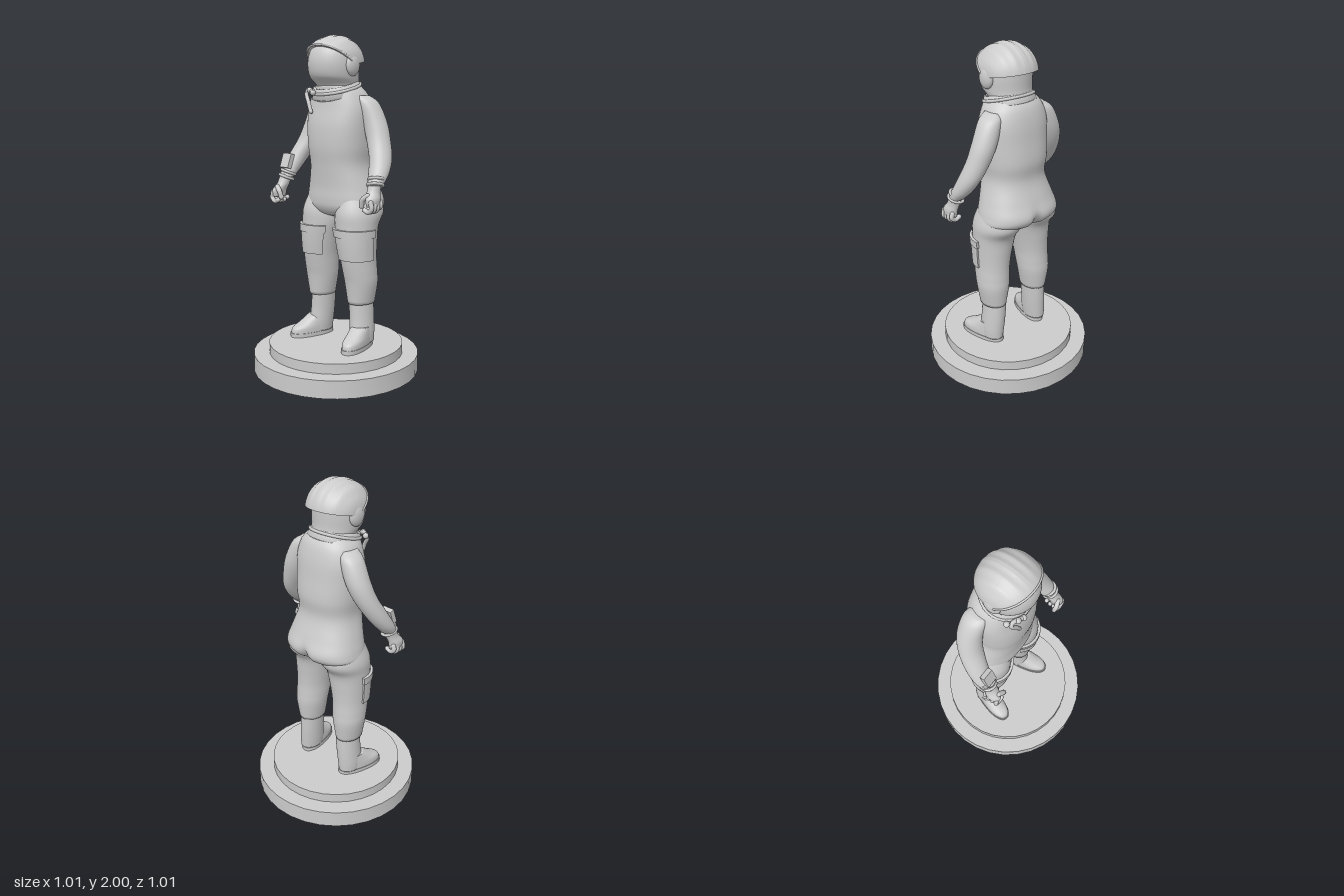
import * as THREE from 'three';
import { mergeVertices, toCreasedNormals } from 'three/addons/utils/BufferGeometryUtils.js';

const grey = new THREE.MeshStandardMaterial({ color: 0xcccccc, side: THREE.DoubleSide });
const V = (x, y, z) => new THREE.Vector3(x, y, z);

function mesh(parent, name, geometry) {
  const m = new THREE.Mesh(geometry, grey);
  m.name = name;
  parent.add(m);
  return m;
}

// Surface over a grid of points; point(i, j) gives the position
function grid(rows, cols, point, flip = false) {
  const pos = [], index = [];
  for (let i = 0; i <= rows; i++)
    for (let j = 0; j <= cols; j++) pos.push(...point(i, j));
  for (let i = 0; i < rows; i++)
    for (let j = 0; j < cols; j++) {
      const a = i * (cols + 1) + j, b = a + 1, c = a + cols + 1, d = c + 1;
      if (flip) index.push(a, c, b, b, c, d);
      else index.push(a, b, c, b, d, c);
    }
  let g = new THREE.BufferGeometry();
  g.setAttribute('position', new THREE.Float32BufferAttribute(pos, 3));
  g.setIndex(index);
  g = mergeVertices(g, 1e-5);
  g.computeVertexNormals();
  return g;
}

// Horizontal rings [x, y, z, rx, rz], listed from top to bottom, smoothly joined.
// A patch (partial range of height and angle) gets raised by "grow" with sunk edges.
function loft(secs, { side = 1, rows = 36, cols = 36, n = 2, t0 = 0, t1 = 2 * Math.PI,
  u0 = 0, u1 = 1, grow = 0, warp = null } = {}) {
  const centre = new THREE.CatmullRomCurve3(secs.map(s => V(s[0], s[1], s[2])), false, 'catmullrom');
  const radii = new THREE.CatmullRomCurve3(secs.map(s => V(s[3], s[4], 0)), false, 'catmullrom');
  const bend = c => Math.sign(c) * Math.abs(c) ** (2 / n);
  return grid(rows, cols, (i, j) => {
    const cap = !grow && (i === 0 || i === rows);
    const k = grow ? Math.min(Math.max((i - 1) / (rows - 2), 0), 1) : Math.min(Math.max((i - 1) / (rows - 2), 0), 1);
    const q = grow ? Math.min(Math.max((j - 1) / (cols - 2), 0), 1) : j === cols ? 0 : j / cols;
    const u = u0 + (u1 - u0) * k, t = t0 + (t1 - t0) * q;
    const c = centre.getPoint(u), r = radii.getPoint(u);
    const edge = i === 0 || i === rows || j === 0 || j === cols;
    const g = grow ? (edge ? -0.01 : grow) : 0;
    const p = V(
      c.x + (cap ? 0 : (r.x + g) * bend(Math.cos(t))), c.y,
      c.z + (cap ? 0 : (r.y + g) * bend(Math.sin(t))));
    if (warp) warp(p);
    return [side * p.x, p.y, p.z];
  }, side < 0);
}

// Round-ended tube through points
function cord(parent, name, pts, radius) {
  const g = new THREE.Group();
  g.name = name;
  parent.add(g);
  mesh(g, name + 'Tube', new THREE.TubeGeometry(new THREE.CatmullRomCurve3(pts), 14, radius, 10));
  for (const p of [pts[0], pts[pts.length - 1]])
    mesh(g, name + 'End', new THREE.SphereGeometry(radius, 10, 8)).position.copy(p);
}

function addBase(root) {
  // Hollow two-step stand, open underneath
  const profile = [[0, 0.165], [0.41, 0.165], [0.41, 0.105], [0.505, 0.105], [0.505, 0]];
  const g = new THREE.LatheGeometry(profile.reverse().map(p => new THREE.Vector2(...p)), 32);
  mesh(root, 'stand', toCreasedNormals(g, 0.6));
}

function addTorso(root) {
  const secs = [
    [0, 1.71, -0.02, 0.135, 0.12], [0, 1.66, -0.035, 0.175, 0.137], [0, 1.58, -0.04, 0.203, 0.152],
    [0, 1.48, -0.037, 0.205, 0.166], [0, 1.36, -0.042, 0.198, 0.172], [0, 1.25, -0.045, 0.188, 0.16],
    [0, 1.13, -0.07, 0.222, 0.173], [0, 1.05, -0.085, 0.245, 0.188], [0, 1.0, -0.08, 0.245, 0.175],
    [0, 0.96, -0.065, 0.17, 0.13], [0, 0.935, -0.06, 0.06, 0.06]];
  const cleft = p => { // groove at the back of the seat
    if (p.z < -0.1) p.z += 0.035 * Math.exp(-((p.x / 0.03) ** 2) - ((p.y - 1.0) / 0.07) ** 2);
  };
  mesh(root, 'torso', loft(secs, { rows: 60, cols: 64, n: 2.3, warp: cleft }));
}

function addLeg(root, side) {
  const leg = new THREE.Group();
  leg.name = side > 0 ? 'leftLeg' : 'rightLeg';
  root.add(leg);
  const secs = [
    [0.12, 1.08, -0.075, 0.11, 0.14], [0.135, 0.98, -0.062, 0.13, 0.16], [0.138, 0.9, -0.035, 0.127, 0.135],
    [0.147, 0.8, -0.03, 0.114, 0.125], [0.155, 0.7, -0.033, 0.103, 0.116], [0.16, 0.62, -0.042, 0.1, 0.11],
    [0.163, 0.55, -0.05, 0.095, 0.104], [0.163, 0.43, -0.05, 0.073, 0.09]];
  mesh(leg, 'trouserLeg', loft(secs, { side, rows: 48 }));
  // Thigh pocket with flap, wrapped around front and outside
  const patch = (name, u0, u1, t0, t1, grow) => mesh(leg, name,
    toCreasedNormals(loft(secs, { side, u0: u0 / 7, u1: u1 / 7, t0, t1, grow, rows: 10, cols: 24 }), 0.7));
  patch('thighPocket', 2.2, 4, -0.05, 2.45, 0.01);
  patch('pocketFlap', 2.2, 2.65, -0.1, 2.5, 0.016);
  // Boot
  mesh(leg, 'bootShaft', loft([
    [0.157, 0.45, -0.055, 0.066, 0.084], [0.165, 0.34, -0.055, 0.066, 0.083],
    [0.172, 0.25, -0.05, 0.065, 0.084], [0.175, 0.19, -0.05, 0.06, 0.08]], { side }));
  const foot = new THREE.Group();
  foot.name = 'foot';
  foot.position.set(side * 0.193, 0, 0.017);
  foot.rotation.y = side * 0.24;
  leg.add(foot);
  mesh(foot, 'bootFoot', loft([
    [0, 0.29, -0.06, 0.055, 0.075], [0, 0.25, -0.03, 0.058, 0.11], [0, 0.22, -0.004, 0.06, 0.138],
    [0, 0.185, 0, 0.06, 0.145]], { n: 2.3 }));
  mesh(foot, 'bootSole', toCreasedNormals(loft([
    [0, 0.19, 0, 0.063, 0.15], [0, 0.165, 0, 0.062, 0.149]], { n: 2.3, rows: 4 }), 0.7));
}

function addArm(root, side, secs, hand) {
  const arm = new THREE.Group();
  arm.name = side > 0 ? 'leftArm' : 'rightArm';
  root.add(arm);
  mesh(arm, 'sleeve', loft(secs, { side, rows: 48 }));
  // Cuff rings around the wrist
  const [x, y, z] = secs[secs.length - 1];
  for (const k of [0, 1]) {
    const cuff = mesh(arm, 'cuff', new THREE.TorusGeometry(0.044, 0.009, 8, 28).rotateX(Math.PI / 2));
    cuff.position.set(side * (x - 0.004 * k), y + 0.03 * k, z - 0.012 * k);
    cuff.rotation.set(-0.3, 0, side * 0.2);
  }
  // Gloved hand with curled fingers
  const glove = new THREE.Group();
  glove.name = 'glove';
  arm.add(glove);
  const [hx, hz] = hand;
  mesh(glove, 'palm', loft([
    [x, y + 0.02, z, 0.036, 0.038], [(x + hx) / 2, 1.125, (z + hz) / 2, 0.036, 0.04],
    [hx + 0.008, 1.085, hz, 0.036, 0.05], [hx + 0.01, 1.045, hz, 0.03, 0.046]], { side, rows: 20, cols: 24 }));
  const P = (dx, py, dz) => V(side * (hx + dx), py, hz + dz);
  for (let i = 0; i < 4; i++) {
    const dz = -0.039 + 0.026 * i, lift = i === 0 ? 0.012 : 0;
    cord(glove, 'finger', [P(0.026, 1.07, dz), P(0.032, 1.035 + lift, dz),
      P(0.008, 1.015 + lift, dz), P(-0.02, 1.025 + lift, dz)], 0.014);
  }
  cord(glove, 'thumb', [P(-0.005, 1.105, 0.03), P(-0.035, 1.08, 0.04), P(-0.045, 1.045, 0.035)], 0.015);
  return arm;
}

function addHelmet(root) {
  const helmet = new THREE.Group();
  helmet.name = 'helmet';
  root.add(helmet);
  // Visor bowl and neck in one rounded form
  mesh(helmet, 'visorAndNeck', loft([
    [0, 1.975, 0.01, 0.04, 0.04], [0, 1.95, 0.012, 0.1, 0.11], [0, 1.9, 0.015, 0.138, 0.145],
    [0, 1.83, 0.02, 0.148, 0.152], [0, 1.76, 0.012, 0.142, 0.143], [0, 1.71, -0.018, 0.13, 0.118],
    [0, 1.65, -0.015, 0.125, 0.115]], { rows: 44, cols: 48 }));
  // Ridged shell sweeping from brow to nape, meeting at the ears
  const v0 = 0.66, v1 = 2.97;
  const shellPoint = (a, v, k = 1) => {
    const x = 0.165 * Math.sin(a), c = Math.cos(a) ** 0.85;
    const fade = Math.sin(Math.PI * (v - v0) / (v1 - v0));
    const brim = 1 + 0.05 * Math.max(0, 1 - (v - v0) / 0.5);
    const r = c * k * brim * (1 + 0.02 * fade * Math.cos(x * 2 * Math.PI / 0.055));
    return [x * k, 1.83 + 0.168 * r * Math.sin(v), 0.01 + 0.178 * r * Math.cos(v)];
  };
  const rows = 32, cols = 72;
  mesh(helmet, 'shell', toCreasedNormals(grid(rows, cols, (i, j) => {
    const f = Math.min(Math.max((i - 1) / (rows - 2), 0), 1);
    const a = (j / cols - 0.5) * Math.PI * 0.999;
    return shellPoint(a, v0 + (v1 - v0) * f, i === 0 || i === rows ? 0.88 : 1);
  }), 0.8));
  const brow = [];
  for (let i = 0; i <= 20; i++) brow.push(V(...shellPoint((i / 20 - 0.5) * 2.9, v0)));
  mesh(helmet, 'browRim', new THREE.TubeGeometry(new THREE.CatmullRomCurve3(brow), 40, 0.006, 8));
  for (const s of [-1, 1]) {
    const ear = mesh(helmet, 'earCover', new THREE.SphereGeometry(1, 24, 16));
    ear.scale.set(0.028, 0.062, 0.052);
    ear.position.set(s * 0.144, 1.825, 0.012);
  }
}

function addCollar(root) {
  // Tilted neck ring, low at the front
  const collar = new THREE.Group();
  collar.name = 'collar';
  collar.position.set(0, 1.697, -0.005);
  collar.rotation.x = 0.27;
  collar.scale.z = 0.95;
  root.add(collar);
  const pts = [[0.125, 0.025], [0.138, 0.026], [0.146, 0.0], [0.158, -0.035], [0.14, -0.045]];
  mesh(collar, 'neckBand', new THREE.LatheGeometry(pts.reverse().map(p => new THREE.Vector2(...p)), 40));
  mesh(collar, 'neckRing', new THREE.TorusGeometry(0.146, 0.009, 8, 40).rotateX(Math.PI / 2));
  // Hose and connectors on the right of the neck
  cord(root, 'hose', [V(-0.06, 1.675, 0.135), V(-0.11, 1.69, 0.115), V(-0.125, 1.665, 0.118),
    V(-0.1, 1.62, 0.128), V(-0.075, 1.56, 0.132)], 0.012);
  for (const [x, y, z] of [[-0.135, 1.685, 0.095], [-0.085, 1.685, 0.13], [-0.05, 1.67, 0.14]])
    mesh(root, 'hoseConnector', new THREE.SphereGeometry(0.017, 14, 10)).position.set(x, y, z);
}

export function createModel() {
  const root = new THREE.Group();
  root.name = 'spacesuitFigure';
  addBase(root);
  addTorso(root);
  for (const s of [-1, 1]) addLeg(root, s);
  const shoulder = [[0.155, 1.655, -0.055, 0.04, 0.05], [0.19, 1.61, -0.07, 0.062, 0.068]];
  addArm(root, 1, [...shoulder, [0.235, 1.5, -0.08, 0.072, 0.07], [0.272, 1.4, -0.07, 0.07, 0.068],
    [0.312, 1.3, -0.042, 0.064, 0.068], [0.335, 1.22, 0, 0.058, 0.06], [0.35, 1.16, 0.045, 0.045, 0.045]],
  [0.355, 0.08]);
  const right = addArm(root, -1, [...shoulder, [0.235, 1.5, -0.072, 0.072, 0.07], [0.27, 1.4, -0.048, 0.07, 0.068],
    [0.303, 1.3, 0.005, 0.063, 0.068], [0.32, 1.22, 0.058, 0.056, 0.06], [0.322, 1.16, 0.105, 0.045, 0.045]],
  [0.328, 0.15]);
  // Wrist display on the right forearm
  const display = mesh(right, 'wristDisplay', new THREE.BoxGeometry(0.072, 0.09, 0.03));
  display.position.set(-0.315, 1.258, 0.105);
  display.rotation.x = -0.35;
  addHelmet(root);
  addCollar(root);
  return root;
}
